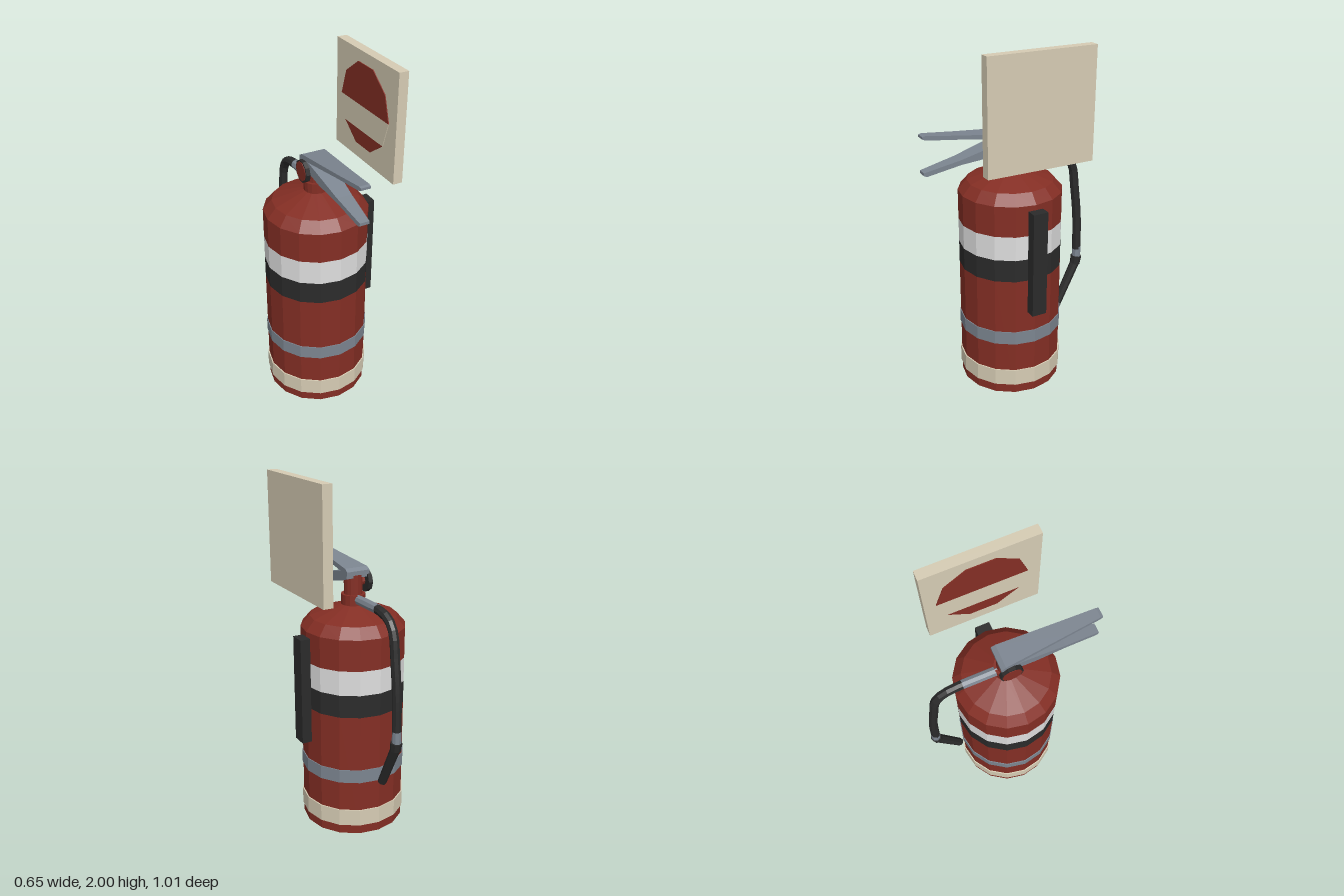
import * as THREE from 'three';

const CX = -0.027, CZ = -0.015, R = 0.293, SIDES = 16;

const mat = (name, color, side = THREE.FrontSide) => {
  const m = new THREE.MeshStandardMaterial({ color, flatShading: true, side });
  m.name = name;
  return m;
};

export function createModel() {
  const red = mat('red paint', 0x842e24);
  const black = mat('black rubber', 0x2b2b2b);
  const white = mat('white band', 0xdedede);
  const grey = mat('grey metal', 0x7c8590);
  const cream = mat('cream', 0xd6ccb4);

  const model = new THREE.Group();
  model.name = 'fireExtinguisher';

  const add = (name, geometry, material, x = 0, y = 0, z = 0) => {
    const mesh = new THREE.Mesh(geometry, material);
    mesh.name = name;
    mesh.position.set(x, y, z);
    model.add(mesh);
    return mesh;
  };

  // Turned part around the tank axis, profile given as [radius, y] from bottom to top
  const turned = (name, profile, material) =>
    add(name, new THREE.LatheGeometry(profile.map(([r, y]) => new THREE.Vector2(r, y)), SIDES), material, CX, 0, CZ);

  // Round bar between two [y, z] points in the plane of the hose
  const bar = (name, a, b, ra, rb, material) => {
    const from = new THREE.Vector3(CX, ...a), to = new THREE.Vector3(CX, ...b);
    const dir = to.clone().sub(from);
    const mesh = add(name, new THREE.CylinderGeometry(rb, ra, dir.length(), 8), material);
    mesh.position.copy(from).add(to).multiplyScalar(0.5);
    mesh.quaternion.setFromUnitVectors(new THREE.Vector3(0, 1, 0), dir.normalize());
    return mesh;
  };

  // Side outline given as [z, y], extruded towards -x
  const sideExtrude = (outline, depth) => {
    const shape = new THREE.Shape(outline.map(([z, y]) => new THREE.Vector2(z, y)));
    return new THREE.ExtrudeGeometry(shape, { depth, bevelEnabled: false }).rotateY(-Math.PI / 2);
  };

  // Tank with flush painted bands
  turned('tankLower', [[0, 0], [R, 0], [R, 0.73]], red);
  turned('blackBand', [[R, 0.73], [R, 0.86]], black);
  turned('whiteBand', [[R, 0.86], [R, 1.0]], white);
  turned('tankUpper', [[R, 1.0], [R, 1.175], [0.243, 1.232], [0.067, 1.293], [0.067, 1.35],
    [0.052, 1.35], [0.052, 1.475], [0, 1.475]], red);

  // Raised rings
  add('creamRing', new THREE.CylinderGeometry(0.3, 0.3, 0.098, SIDES), cream, CX, 0.105, CZ);
  add('greyRing', new THREE.CylinderGeometry(0.298, 0.298, 0.078, SIDES), grey, CX, 0.37, CZ);

  // Levers: side outlines that narrow towards the tip
  const lever = (name, outline) => {
    const geometry = sideExtrude(outline, 1).translate(0.5, 0, 0);
    const p = geometry.attributes.position;
    for (let i = 0; i < p.count; i++) {
      const t = (p.getZ(i) + 0.07) / 0.575;
      p.setX(i, p.getX(i) * THREE.MathUtils.lerp(0.14, 0.055, t));
    }
    geometry.computeVertexNormals();
    add(name, geometry, grey, CX);
  };
  lever('upperLever', [[-0.07, 1.462], [0.0, 1.475], [0.3, 1.513], [0.49, 1.533], [0.505, 1.54],
    [0.505, 1.553], [0.49, 1.557], [0.3, 1.535], [-0.045, 1.5], [-0.07, 1.485]]);
  lever('lowerLever', [[-0.06, 1.445], [0.0, 1.425], [0.13, 1.392], [0.3, 1.373], [0.49, 1.335],
    [0.505, 1.342], [0.505, 1.358], [0.3, 1.4], [0.03, 1.475], [-0.06, 1.475]]);

  // Pressure gauge on the right of the neck
  const disc = (r, d) => new THREE.CylinderGeometry(r, r, d, 10).rotateZ(Math.PI / 2);
  add('gaugeStem', disc(0.025, 0.05), red, -0.08, 1.415, -0.018);
  add('gaugeRim', disc(0.064, 0.026), black, -0.1, 1.415, -0.018);
  add('gaugeFace', disc(0.055, 0.004), red, -0.114, 1.415, -0.018);

  // Hose with its metal fittings and nozzle
  bar('hoseConnector', [1.325, -0.06], [1.325, -0.265], 0.027, 0.027, grey);
  const path = new THREE.CatmullRomCurve3(
    [[1.325, -0.255], [1.318, -0.31], [1.297, -0.375], [1.24, -0.42], [1.1, -0.443],
      [0.9, -0.466], [0.69, -0.473]].map(([y, z]) => new THREE.Vector3(CX, y, z)));
  add('hose', new THREE.TubeGeometry(path, 16, 0.026, 8), black);
  bar('nozzleFitting', [0.705, -0.473], [0.635, -0.473], 0.026, 0.026, grey);
  bar('nozzleGrip', [0.64, -0.473], [0.59, -0.465], 0.033, 0.03, black);
  bar('nozzle', [0.61, -0.472], [0.335, -0.34], 0.028, 0.025, black);

  // Wall bracket
  add('wallBracket', new THREE.BoxGeometry(0.057, 0.612, 0.087), black, 0.2925, 0.84, -0.012);

  // Wall sign with a ten-sided emblem cut into a red field and a cream bar
  add('signPanel', new THREE.BoxGeometry(0.055, 0.61, 0.616), cream, 0.2935, 1.695, -0.012);
  const corner = (k) => {
    const a = (k * Math.PI) / 5;
    return [CZ + 0.243 * Math.cos(a), 1.705 + 0.243 * Math.sin(a)];
  };
  const plate = (name, corners, material) =>
    add(name, sideExtrude(corners.map(corner), 0.006), material, 0.267);
  plate('signDiscTop', [0, 1, 2, 3, 4, 5], red);
  plate('signBar', [0, 5, 6, 9], cream);
  plate('signDiscBottom', [6, 7, 8, 9], red);

  return model;
}
